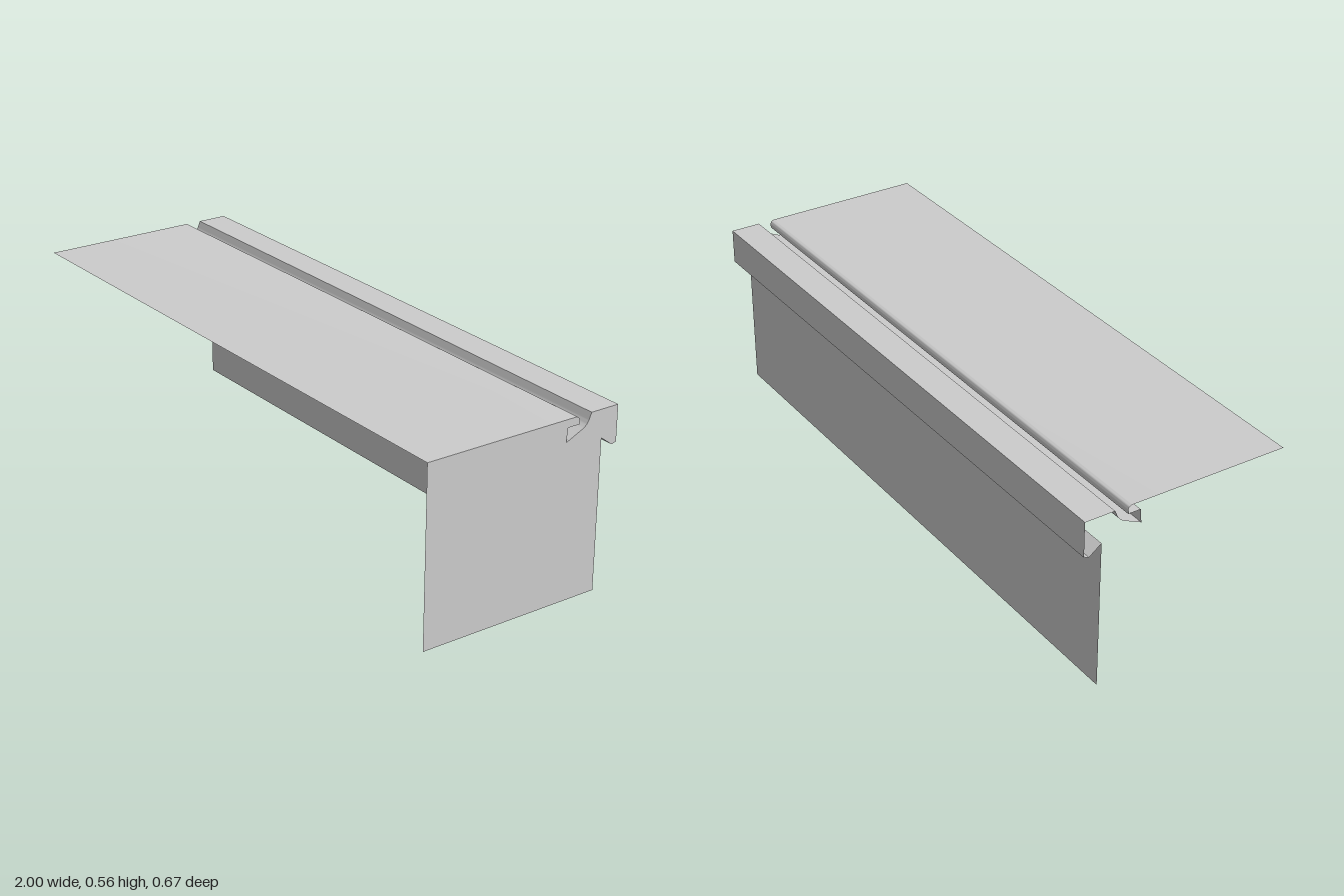
import * as THREE from 'three';
import { toCreasedNormals } from 'three/addons/utils/BufferGeometryUtils.js';

const TOP = 0.5625, HALF = 1;

// Side profile, with u = -z: top slab, rounded nose, drain groove, hooked rear edge, back wall
function makeProfile() {
  const s = new THREE.Shape();
  s.moveTo(-0.333, TOP);
  s.lineTo(0.179, TOP);
  s.bezierCurveTo(0.187, TOP, 0.193, 0.557, 0.193, 0.549);
  s.lineTo(0.193, 0.5375);
  s.lineTo(0.152, 0.5375);
  s.lineTo(0.148, 0.494);
  s.lineTo(0.205, 0.52);
  s.quadraticCurveTo(0.222, 0.529, 0.2275, 0.543);
  s.lineTo(0.236, TOP);
  s.lineTo(0.333, TOP);
  s.lineTo(0.333, 0.45);
  s.lineTo(0.317, 0.445);
  s.lineTo(0.277, 0.475);
  s.lineTo(0.277, 0);
  return s;
}

// Sweeps the open profile along x into a thin sheet
function sweep(points) {
  const pos = [], index = [];
  points.forEach((p, i) => {
    pos.push(-HALF, p.y, -p.x, HALF, p.y, -p.x);
    if (i > 0) {
      const a = 2 * (i - 1);
      index.push(a, a + 1, a + 3, a, a + 3, a + 2);
    }
  });
  const g = new THREE.BufferGeometry();
  g.setAttribute('position', new THREE.Float32BufferAttribute(pos, 3));
  g.setIndex(index);
  return toCreasedNormals(g, 0.45);
}

export function createModel() {
  const group = new THREE.Group();
  group.name = 'edgeProfile';
  const grey = new THREE.MeshStandardMaterial({ color: 0xcccccc, side: THREE.DoubleSide });
  grey.name = 'light grey';

  // Top, groove, hook and back wall; the front, underside and left-hand -x end stay open
  const profile = makeProfile();
  const shell = new THREE.Mesh(sweep(profile.getPoints(8)), grey);
  shell.name = 'topAndBackShell';
  group.add(shell);

  // Flat end wall at +x
  profile.lineTo(-0.333, 0);
  profile.closePath();
  const cap = new THREE.ShapeGeometry(profile, 8);
  cap.rotateY(Math.PI / 2);
  cap.translate(HALF, 0, 0);
  const endWall = new THREE.Mesh(cap, grey);
  endWall.name = 'endWall';
  group.add(endWall);

  return group;
}
